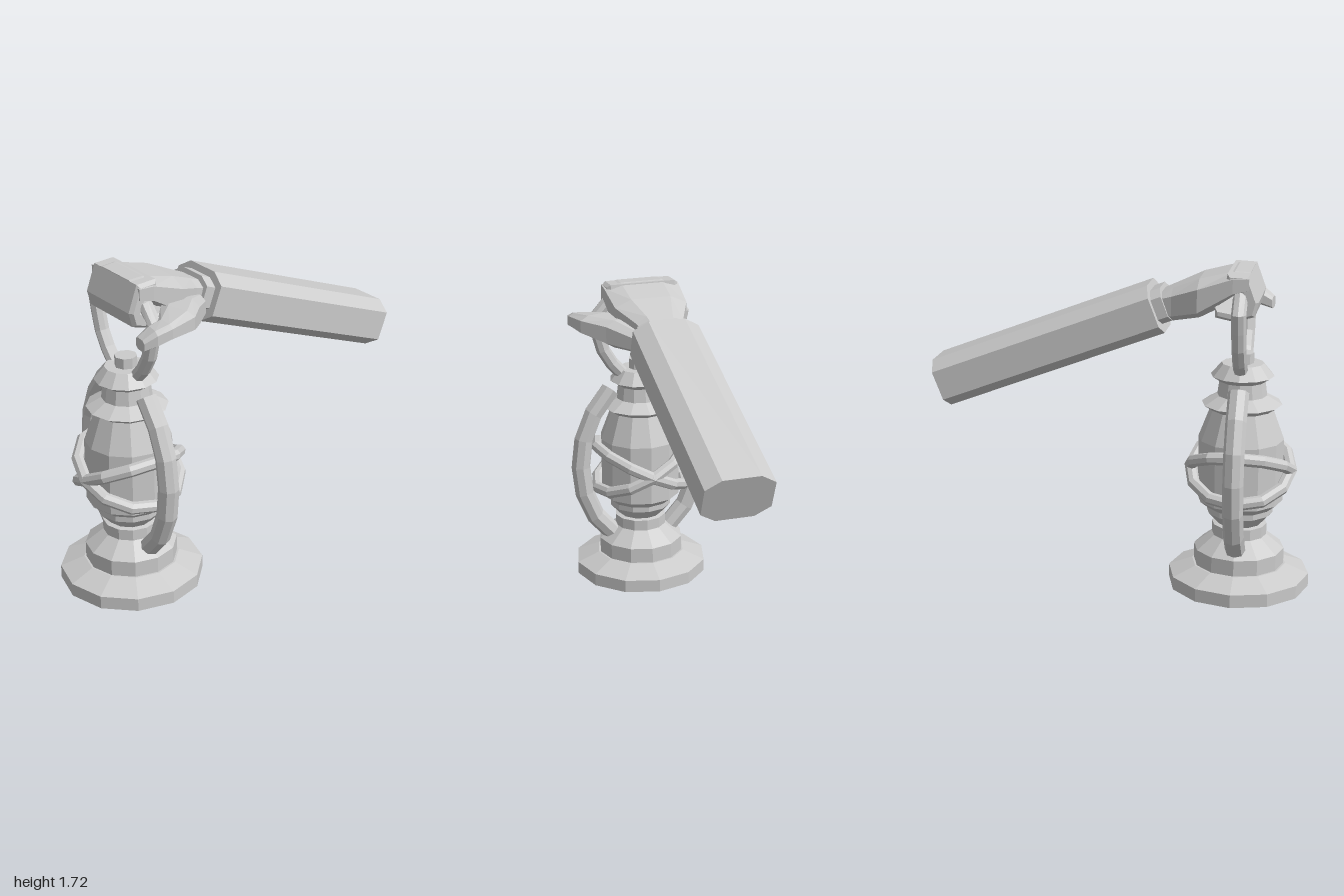
import * as THREE from 'three';

const material = new THREE.MeshStandardMaterial({ color: 0xcccccc, flatShading: true });
const sheet = new THREE.MeshStandardMaterial({ color: 0xcccccc, flatShading: true, side: THREE.DoubleSide });

// Chamfered cross-section as [z, y] factors
const OCTAGON = [[1, -0.6], [1, 0.6], [0.55, 1], [-0.55, 1], [-1, 0.6], [-1, -0.6], [-0.55, -1], [0.55, -1]];

function mesh(name, geometry, mat = material) {
  const m = new THREE.Mesh(geometry, mat);
  m.name = name;
  return m;
}

// Closed solid through sections [x, y, z, halfHeight, halfWidth, lean], ordered from +x to -x
function loft(sections) {
  const n = OCTAGON.length;
  const pos = [];
  const index = [];
  for (const [x, y, z, h, w, lean = 0] of sections) {
    for (const [a, b] of OCTAGON) pos.push(x + a * lean, y + b * h, z + a * w);
  }
  const last = (sections.length - 1) * n;
  for (let i = 0; i < last; i += n) {
    for (let j = 0; j < n; j++) {
      const k = (j + 1) % n;
      index.push(i + j, i + k, i + n + j, i + k, i + n + k, i + n + j);
    }
  }
  for (let j = 1; j < n - 1; j++) {
    index.push(0, j + 1, j, last, last + j, last + j + 1);
  }
  const g = new THREE.BufferGeometry();
  g.setAttribute('position', new THREE.Float32BufferAttribute(pos, 3));
  g.setIndex(index);
  g.computeVertexNormals();
  return g;
}

// Faceted rod through points given as [y, z]
function rod(name, points, radius, segments) {
  const curve = new THREE.CatmullRomCurve3(points.map(([y, z]) => new THREE.Vector3(0, y, z)));
  return mesh(name, new THREE.TubeGeometry(curve, segments, radius, 8), sheet);
}

function createLantern() {
  const lantern = new THREE.Group();
  lantern.name = 'lantern';

  // Turned body: base, fuel tank, burner, glass and chimney
  const profile = [
    [0, 0], [0.375, 0], [0.375, 0.07], [0.25, 0.12], [0.24, 0.12], [0.24, 0.205], [0.145, 0.28],
    [0.145, 0.34], [0.12, 0.345], [0.175, 0.405], [0.175, 0.435], [0.225, 0.475], [0.225, 0.81],
    [0.165, 0.97], [0.21, 1.0], [0.13, 1.045], [0.12, 1.12], [0.165, 1.15], [0.11, 1.215], [0, 1.215],
  ].map(([r, y]) => new THREE.Vector2(r, y));
  lantern.add(mesh('lanternBody', new THREE.LatheGeometry(profile, 12)));

  const knob = mesh('capKnob', new THREE.CylinderGeometry(0.058, 0.058, 0.08, 8));
  knob.position.y = 1.23;
  lantern.add(knob);

  // Side rods and the crossed guard rings
  for (const s of [1, -1]) {
    lantern.add(rod('sideRod', [
      [0.23, s * 0.16], [0.39, s * 0.29], [0.64, s * 0.347], [0.91, s * 0.3], [1.1, s * 0.17],
    ], 0.054, 6));

    const ring = [];
    for (let i = 0; i < 12; i++) {
      const a = (i / 12) * Math.PI * 2;
      const z = 0.25 * Math.sin(a);
      ring.push(new THREE.Vector3(0.265 * Math.cos(a), 0.645 + s * 0.5 * z, z));
    }
    const curve = new THREE.CatmullRomCurve3(ring, true);
    lantern.add(mesh('guardRing', new THREE.TubeGeometry(curve, 12, 0.033, 8, true)));
  }

  // Carrying handle passing through the fist
  lantern.add(rod('carryingHandle', [
    [1.18, 0.09], [1.3, 0.19], [1.44, 0.235], [1.55, 0.25], [1.6, 0.16], [1.61, 0],
    [1.6, -0.16], [1.55, -0.25], [1.44, -0.235], [1.3, -0.19], [1.18, -0.09],
  ], 0.038, 14));

  lantern.position.x = -0.627;
  return lantern;
}

function createHand() {
  const hand = new THREE.Group();
  hand.name = 'hand';

  // Back of the hand, widening from wrist to knuckles
  hand.add(mesh('palm', loft([
    [-0.2, 1.515, -0.01, 0.065, 0.11],
    [-0.27, 1.525, -0.01, 0.085, 0.13],
    [-0.41, 1.57, -0.005, 0.1, 0.2],
    [-0.59, 1.655, -0.005, 0.062, 0.21],
    [-0.67, 1.665, -0.005, 0.048, 0.205],
  ])));

  // Fingers curled into a hook around the handle
  const curl = new THREE.Shape([
    [-0.56, 1.715], [-0.67, 1.71], [-0.72, 1.575], [-0.7, 1.5], [-0.6, 1.47], [-0.5, 1.49],
    [-0.5, 1.54], [-0.6, 1.525], [-0.65, 1.57], [-0.62, 1.635], [-0.55, 1.65],
  ].map(([x, y]) => new THREE.Vector2(x, y)));
  const fingers = mesh('fingers', new THREE.ExtrudeGeometry(curl, {
    depth: 0.36, bevelEnabled: true, bevelThickness: 0.02, bevelSize: 0.015, bevelOffset: -0.015, bevelSegments: 1,
  }));
  fingers.position.z = -0.185;
  hand.add(fingers);

  // Thumb swinging out to the front
  hand.add(mesh('thumb', loft([
    [-0.24, 1.475, 0.05, 0.055, 0.1],
    [-0.38, 1.5, 0.15, 0.075, 0.11, 0.02],
    [-0.5, 1.525, 0.27, 0.055, 0.1, 0.03],
    [-0.62, 1.52, 0.335, 0.042, 0.062],
    [-0.69, 1.5, 0.325, 0.042, 0.06, -0.01],
    [-0.75, 1.47, 0.31, 0.03, 0.042, -0.005],
  ])));
  return hand;
}

function createArm() {
  const arm = new THREE.Group();
  arm.name = 'arm';
  arm.add(mesh('sleeve', loft([[1.23, 0, 0, 0.13, 0.18], [0, 0, 0, 0.13, 0.18]])));
  arm.add(mesh('wristCuff', loft([[0.03, 0.005, 0, 0.09, 0.14], [-0.055, 0.005, 0, 0.09, 0.14]])));
  arm.position.set(-0.187, 1.5, -0.008);
  arm.rotation.z = -0.369;
  return arm;
}

export function createModel() {
  const model = new THREE.Group();
  model.name = 'handHoldingLantern';
  model.add(createLantern(), createHand(), createArm());
  return model;
}
